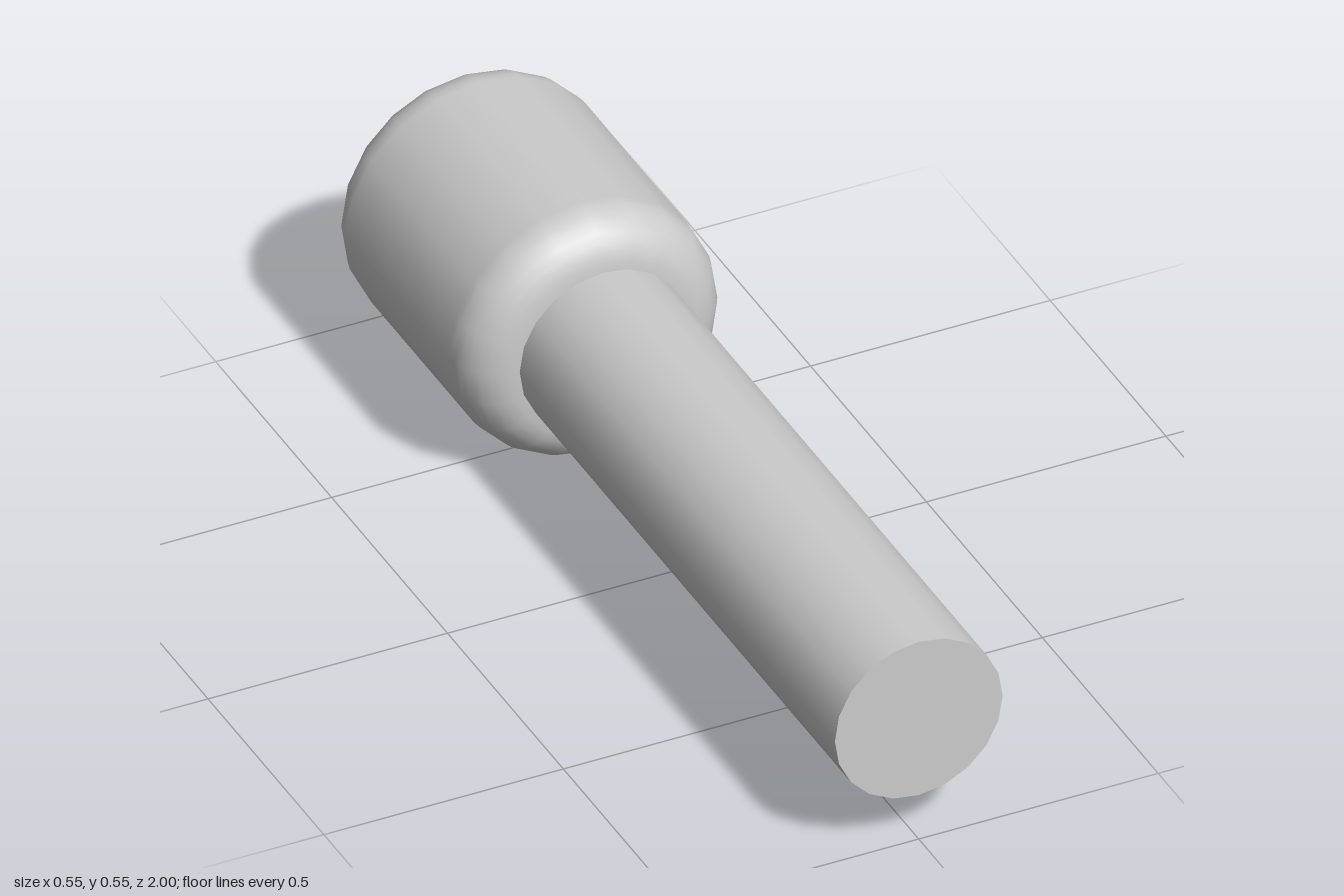
import * as THREE from 'three';

const SIDES = 20;
const SHAFT_R = 0.175, HEAD_R = 0.275, FILLET = 0.1;
const BACK = -1, HEAD_FRONT = -0.36, SHAFT_BACK = -0.98, FRONT = 1;

export function createModel() {
  const group = new THREE.Group();
  group.name = 'mallet';
  const material = new THREE.MeshStandardMaterial({ color: 0xcccccc });

  // Turns a geometry made along y onto the z axis and lifts it to its resting height
  const add = (name, geometry, mat = material) => {
    geometry.rotateX(Math.PI / 2);
    const mesh = new THREE.Mesh(geometry, mat);
    mesh.name = name;
    mesh.position.y = HEAD_R;
    group.add(mesh);
  };

  // Open or closed cylinder between two positions along the axis
  const rod = (from, to, open) =>
    new THREE.CylinderGeometry(SHAFT_R, SHAFT_R, to - from, SIDES, 1, open).translate(0, (from + to) / 2, 0);

  // Long shaft, running through the head and stopping just short of its back
  add('shaft', rod(SHAFT_BACK, FRONT, false));

  // Head sleeve with both rims fully rounded
  const profile = [];
  const STEPS = 8;
  for (const [centre, start] of [[BACK + FILLET, -Math.PI / 2], [HEAD_FRONT - FILLET, 0]]) {
    for (let i = 0; i <= STEPS; i++) {
      const a = start + (i / STEPS) * Math.PI / 2;
      profile.push(new THREE.Vector2(SHAFT_R + FILLET * Math.cos(a), centre + FILLET * Math.sin(a)));
    }
  }
  add('head', new THREE.LatheGeometry(profile, SIDES));

  // Inner wall of the shallow recess at the back of the head
  const wall = material.clone();
  wall.side = THREE.DoubleSide;
  add('recessWall', rod(BACK, SHAFT_BACK, true), wall);

  return group;
}
